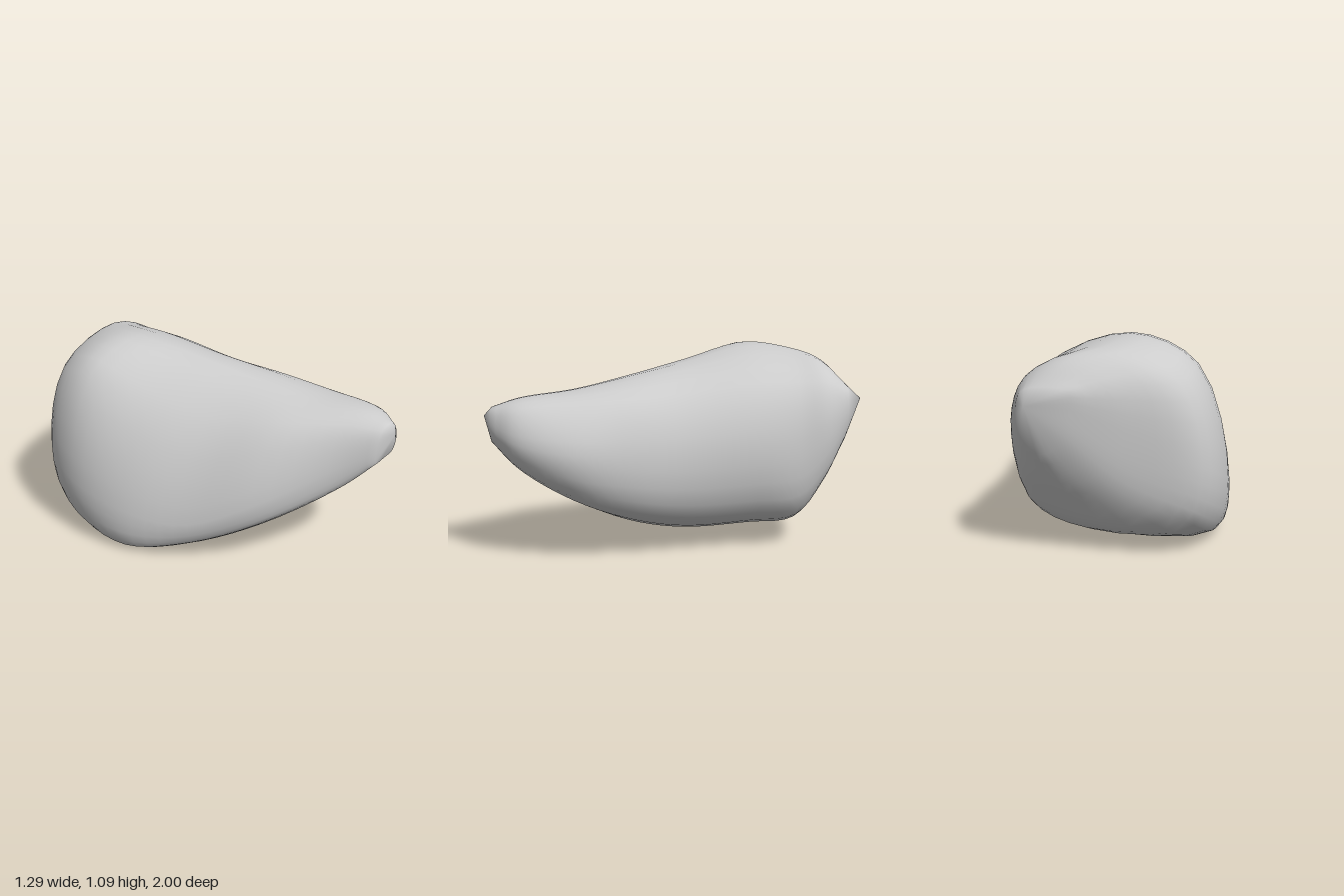
import * as THREE from 'three';

// Cross-sections from back to front: z, then x,y of eight points
// (-x side, up over the top, down the +x side, back along the underside)
const SECTIONS = [
  [-0.92, 0.0, 0.76, 0.0, 0.87, 0.14, 0.89, 0.25, 0.86, 0.28, 0.75, 0.25, 0.63, 0.15, 0.56, 0.04, 0.63],
  [-0.8, -0.26, 0.6, -0.23, 0.89, 0.04, 1.01, 0.28, 0.91, 0.36, 0.69, 0.3, 0.4, 0.06, 0.32, -0.19, 0.38],
  [-0.65, -0.58, 0.48, -0.46, 0.9, -0.1, 1.06, 0.28, 0.91, 0.39, 0.62, 0.33, 0.23, 0.03, 0.11, -0.5, 0.2],
  [-0.4, -0.65, 0.37, -0.49, 0.95, -0.14, 1.09, 0.31, 0.91, 0.44, 0.59, 0.35, 0.21, -0.1, 0.05, -0.57, 0.07],
  [-0.05, -0.57, 0.27, -0.36, 0.79, 0.02, 1.01, 0.37, 0.87, 0.5, 0.57, 0.42, 0.21, -0.2, 0.01, -0.54, 0.03],
  [0.25, -0.4, 0.23, -0.2, 0.7, 0.14, 0.94, 0.46, 0.85, 0.58, 0.58, 0.51, 0.27, 0.0, 0.1, -0.36, 0.1],
  [0.55, -0.17, 0.38, -0.01, 0.75, 0.26, 0.88, 0.51, 0.84, 0.645, 0.6, 0.56, 0.37, 0.2, 0.28, -0.12, 0.25],
  [0.82, 0.18, 0.58, 0.24, 0.78, 0.38, 0.855, 0.54, 0.82, 0.605, 0.65, 0.54, 0.52, 0.37, 0.48, 0.21, 0.46],
];
const BACK_TIP = new THREE.Vector3(0.2, 0.81, -1);
const FRONT_TIP = new THREE.Vector3(0.43, 0.77, 1);
const AROUND = 32, ALONG = 36;

function rockGeometry() {
  const rings = SECTIONS.map(([z, ...p]) =>
    Array.from({ length: 8 }, (_, i) => new THREE.Vector3(p[2 * i], p[2 * i + 1], z)));
  // Blunt nose: the last section shrunk towards the front tip
  rings.push(rings.at(-1).map((v) => new THREE.Vector3(
    THREE.MathUtils.lerp(v.x, FRONT_TIP.x, 0.6),
    THREE.MathUtils.lerp(v.y, FRONT_TIP.y, 0.5),
    0.96)));

  // Smooth each section, then run a smooth rail through the sections
  const smooth = rings.map((r) =>
    new THREE.CatmullRomCurve3(r, true, 'centripetal').getPoints(AROUND));
  const rails = Array.from({ length: AROUND }, (_, i) =>
    new THREE.CatmullRomCurve3(smooth.map((r) => r[i]), false, 'centripetal').getPoints(ALONG));

  const pos = [], index = [];
  for (let j = 0; j <= ALONG; j++) {
    for (const rail of rails) pos.push(rail[j].x, Math.max(0, rail[j].y), rail[j].z);
  }
  const back = pos.length / 3, front = back + 1;
  pos.push(...BACK_TIP.toArray(), ...FRONT_TIP.toArray());

  const last = ALONG * AROUND;
  for (let i = 0; i < AROUND; i++) {
    const n = (i + 1) % AROUND;
    for (let j = 0; j < ALONG; j++) {
      const a = j * AROUND + i, b = j * AROUND + n;
      index.push(a, a + AROUND, b, b, a + AROUND, b + AROUND);
    }
    index.push(back, i, n, front, last + n, last + i);
  }
  const geo = new THREE.BufferGeometry();
  geo.setAttribute('position', new THREE.Float32BufferAttribute(pos, 3));
  geo.setIndex(index);
  // Stand it on the ground
  geo.computeBoundingBox();
  geo.translate(0, -geo.boundingBox.min.y, 0);
  geo.computeVertexNormals();
  return geo;
}

export function createModel() {
  const group = new THREE.Group();
  group.name = 'rock';
  const boulder = new THREE.Mesh(rockGeometry(), new THREE.MeshStandardMaterial({ color: 0xcccccc }));
  boulder.name = 'boulder';
  group.add(boulder);
  return group;
}
